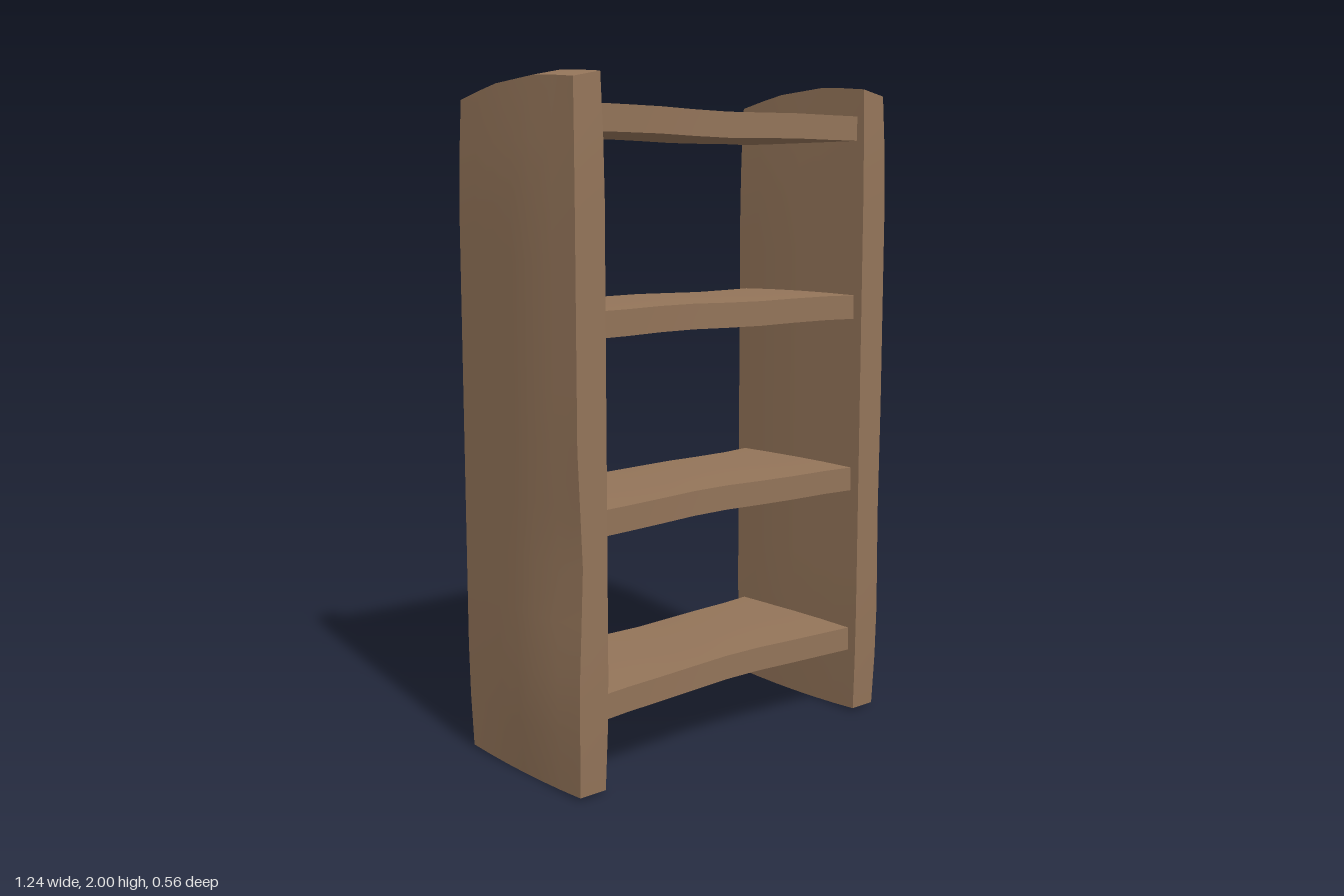
import * as THREE from 'three';
import { toCreasedNormals } from 'three/addons/utils/BufferGeometryUtils.js';

const wood = new THREE.MeshStandardMaterial({ color: 0x937459 });
wood.name = 'brownWood';

// Smooth interpolation through evenly or unevenly spaced [t, value] points
function ramp(points, t) {
  if (t <= points[0][0]) return points[0][1];
  for (let i = 1; i < points.length; i++) {
    const [a, va] = points[i - 1], [b, vb] = points[i];
    if (t <= b) return va + (vb - va) * (t - a) / (b - a);
  }
  return points[points.length - 1][1];
}

// Unit box (each axis -1..1) whose vertices are moved by a rule
function carvedBox(name, segments, rule) {
  const geometry = new THREE.BoxGeometry(2, 2, 2, ...segments);
  const position = geometry.attributes.position;
  const v = new THREE.Vector3();
  for (let i = 0; i < position.count; i++) {
    v.fromBufferAttribute(position, i);
    rule(v);
    position.setXYZ(i, v.x, v.y, v.z);
  }
  const mesh = new THREE.Mesh(toCreasedNormals(geometry, 0.6), wood);
  mesh.name = name;
  return mesh;
}

// Upright side plank: crooked outer face, crowned top, slightly pinched ends
function sidePlank(name, side) {
  const topLine = [[-1, 1.95], [-0.4, 1.985], [0.4, 2.0], [1, 1.985]];
  const dent = side < 0 ? 0.015 : 0.004;
  const bulgeZ = side < 0 ? 0.3 : -0.3;
  const heights = [[0, 0], [1, 1]];
  return carvedBox(name, [1, 12, 6], (v) => {
    const outer = v.x * side > 0;
    const t = ramp(heights, (v.y + 1) / 2);
    const z = v.z;
    const endPinch = ramp([[0, 1], [0.12, 0], [0.88, 0], [1, 1]], t);
    const belly = ramp([[-1, 0], [bulgeZ, 1], [1, 0]], z);
    const dip = Math.max(0, 1 - Math.abs(t - 0.33) / 0.17) * Math.max(0, z);
    const x = outer
      ? 0.605 + 0.018 * belly * (1 - endPinch) - 0.006 * endPinch - dent * dip
      : 0.506 - 0.006 * belly * (1 - endPinch) + 0.004 * endPinch;
    const top = ramp(topLine, z) - (outer ? 0.018 : 0);
    const bottom = 0.008 * z * z;
    v.set(x * side, bottom + (top - bottom) * t, z * (0.278 - 0.01 * endPinch));
  });
}

// Shelf board: front and back edges curve inward, faces gently uneven
function shelf(name, y, phase) {
  return carvedBox(name, [8, 1, 4], (v) => {
    const across = 1 - v.x * v.x;
    const middle = 1 - v.z * v.z;
    const wave = 0.003 * Math.sin(v.x * 5 + phase + v.z) * across;
    const height = v.y > 0
      ? 0.036 + 0.004 * middle + wave
      : -0.038 - 0.007 * middle * across + wave;
    v.set(v.x * 0.53, y + height, v.z * (0.248 - 0.036 * across));
  });
}

export function createModel() {
  const model = new THREE.Group();
  model.name = 'bookshelf';
  model.add(sidePlank('leftSidePlank', 1), sidePlank('rightSidePlank', -1));
  [0.24, 0.768, 1.317, 1.868].forEach((y, i) => {
    model.add(shelf(`shelf${i + 1}`, y, i * 1.3));
  });
  return model;
}
